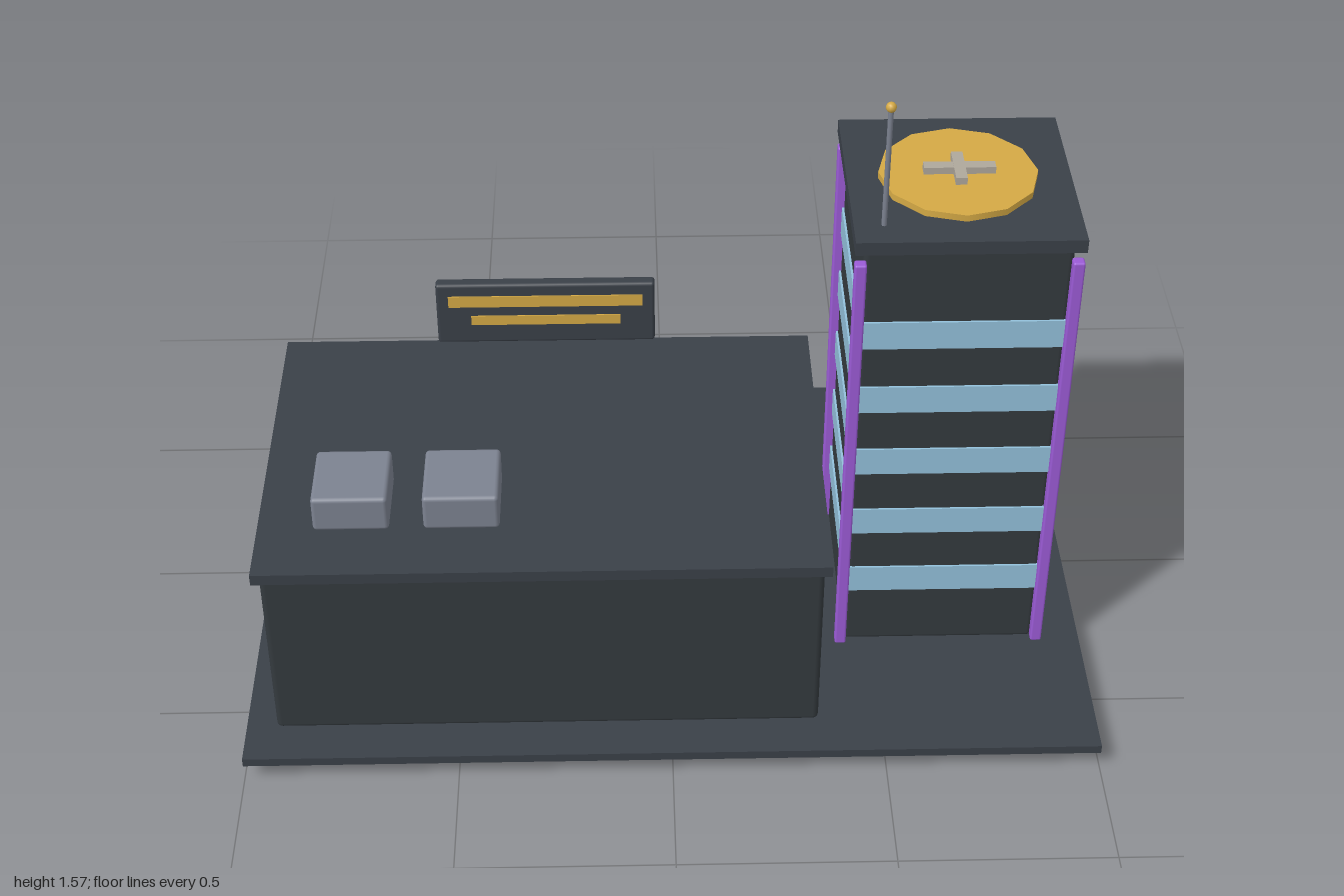
import * as THREE from 'three';
import { RoundedBoxGeometry } from 'three/addons/geometries/RoundedBoxGeometry.js';

const mat = (name, color) => {
  const m = new THREE.MeshStandardMaterial({ color });
  m.name = name;
  return m;
};

export function createModel() {
  const slab = mat('dark slab', 0x3a4048);
  const wall = mat('dark wall', 0x343a3e);
  const glass = mat('blue glass', 0x92c0da);
  const purple = mat('purple trim', 0x9b5bd6);
  const gold = mat('gold', 0xd4a945);
  const grey = mat('grey metal', 0x7c8290);
  const beige = mat('beige stone', 0xaea79b);
  const cyan = mat('cyan light', 0x1fc4cc);
  const magenta = mat('magenta light', 0xd42c9c);

  const model = new THREE.Group();
  const add = (name, geometry, material, x, y, z, parent = model) => {
    const mesh = new THREE.Mesh(geometry, material);
    mesh.name = name;
    mesh.position.set(x, y, z);
    parent.add(mesh);
    return mesh;
  };
  // Box given by its extents; a bevel rounds its edges
  const block = (name, material, [x0, x1], [y0, y1], [z0, z1], bevel = 0, parent = model) => {
    const size = [x1 - x0, y1 - y0, z1 - z0];
    const geometry = bevel ? new RoundedBoxGeometry(...size, 2, bevel) : new THREE.BoxGeometry(...size);
    return add(name, geometry, material, (x0 + x1) / 2, (y0 + y1) / 2, (z0 + z1) / 2, parent);
  };

  // Ground plate
  block('groundPlate', slab, [-1, 1], [0.045, 0.067], [-0.655, 0.72]);

  // Low hall with its overhanging roof
  block('hallBody', wall, [-0.93, 0.345], [0.06, 0.535], [-0.215, 0.615], 0.014);
  block('hallRoof', slab, [-0.945, 0.36], [0.532, 0.56], [-0.235, 0.635]);

  // Rear shop front: light strips and four doors
  block('eaveLight', cyan, [-0.925, 0.34], [0.492, 0.508], [-0.23, -0.213]);
  block('floorLight', magenta, [-0.925, 0.34], [0.08, 0.095], [-0.23, -0.213]);
  for (let i = 0; i < 4; i++) {
    const x = -0.3 + (i - 1.5) * 0.29;
    block('door', grey, [x - 0.117, x + 0.117], [0.075, 0.39], [-0.223, -0.213]);
    block('doorLight', cyan, [x - 0.117, x + 0.117], [0.388, 0.4], [-0.229, -0.213]);
  }

  // Roof units
  for (const x of [-0.73, -0.478]) {
    block('roofUnit', grey, [x - 0.087, x + 0.087], [0.558, 0.65], [0.305, 0.485], 0.01);
  }

  // Sign board with gold bars on both faces
  const sign = new THREE.Group();
  sign.name = 'sign';
  model.add(sign);
  block('signBoard', slab, [-0.565, -0.025], [0.575, 0.75], [-0.236, -0.203], 0.008, sign);
  for (const z of [-0.2365, -0.2025]) {
    block('signUpperBar', gold, [-0.535, -0.055], [0.685, 0.717], [z - 0.002, z + 0.002], 0, sign);
    block('signLowerBar', gold, [-0.48, -0.11], [0.631, 0.658], [z - 0.002, z + 0.002], 0, sign);
  }

  // Tower
  const tower = new THREE.Group();
  tower.name = 'tower';
  tower.position.set(0.655, 0, 0.11);
  model.add(tower);
  block('towerBody', wall, [-0.232, 0.232], [0.06, 1.222], [-0.232, 0.232], 0.014, tower);
  block('towerRoof', slab, [-0.253, 0.253], [1.22, 1.253], [-0.253, 0.253], 0, tower);
  for (let i = 0; i < 5; i++) {
    const y = 0.263 + i * 0.1815;
    for (let side = 0; side < 4; side++) {
      const a = side * Math.PI / 2;
      const band = add('windowBand', new THREE.BoxGeometry(0.458, 0.073, 0.008), glass,
        Math.sin(a) * 0.233, y, Math.cos(a) * 0.233, tower);
      band.rotation.y = a;
    }
  }
  for (const sx of [-1, 1]) for (const sz of [-1, 1]) {
    add('cornerPost', new RoundedBoxGeometry(0.027, 1.125, 0.027, 2, 0.005), purple,
      sx * 0.239, 0.6285, sz * 0.239, tower);
  }

  // Landing pad with a raised cross
  add('landingPad', new THREE.CylinderGeometry(0.18, 0.18, 0.017, 12), gold, -0.003, 1.2605, -0.005, tower);
  block('padCrossLong', beige, [-0.082, 0.08], [1.266, 1.286], [-0.018, 0.008], 0, tower);
  block('padCrossShort', beige, [-0.015, 0.011], [1.266, 1.287], [-0.057, 0.052], 0, tower);

  // Antenna
  add('antennaMast', new THREE.CylinderGeometry(0.006, 0.006, 0.3, 8), grey, -0.186, 1.4, 0.183, tower);
  add('antennaTip', new THREE.SphereGeometry(0.012, 10, 8), gold, -0.186, 1.553, 0.183, tower);

  // Entrance ramp: sloping slab, side walls and head block
  const profile = new THREE.Shape([[0.3, 0.06], [0.725, 0], [0.73, 0.038], [0.3, 0.098]]
    .map(([z, y]) => new THREE.Vector2(z, y)));
  const rampGeometry = new THREE.ExtrudeGeometry(profile, { depth: 0.4, bevelEnabled: false });
  rampGeometry.rotateY(Math.PI / 2);
  add('ramp', rampGeometry, slab, -0.49, 0, 0);
  for (const x of [-0.503, -0.085]) {
    block('rampWall', beige, [x - 0.016, x + 0.016], [0.046, 0.115], [-0.728, -0.35]);
  }
  block('rampHead', slab, [-0.53, -0.06], [0.06, 0.152], [-0.355, -0.302]);
  block('rampStep', slab, [-0.515, -0.07], [0.06, 0.14], [-0.304, -0.292]);

  return model;
}
